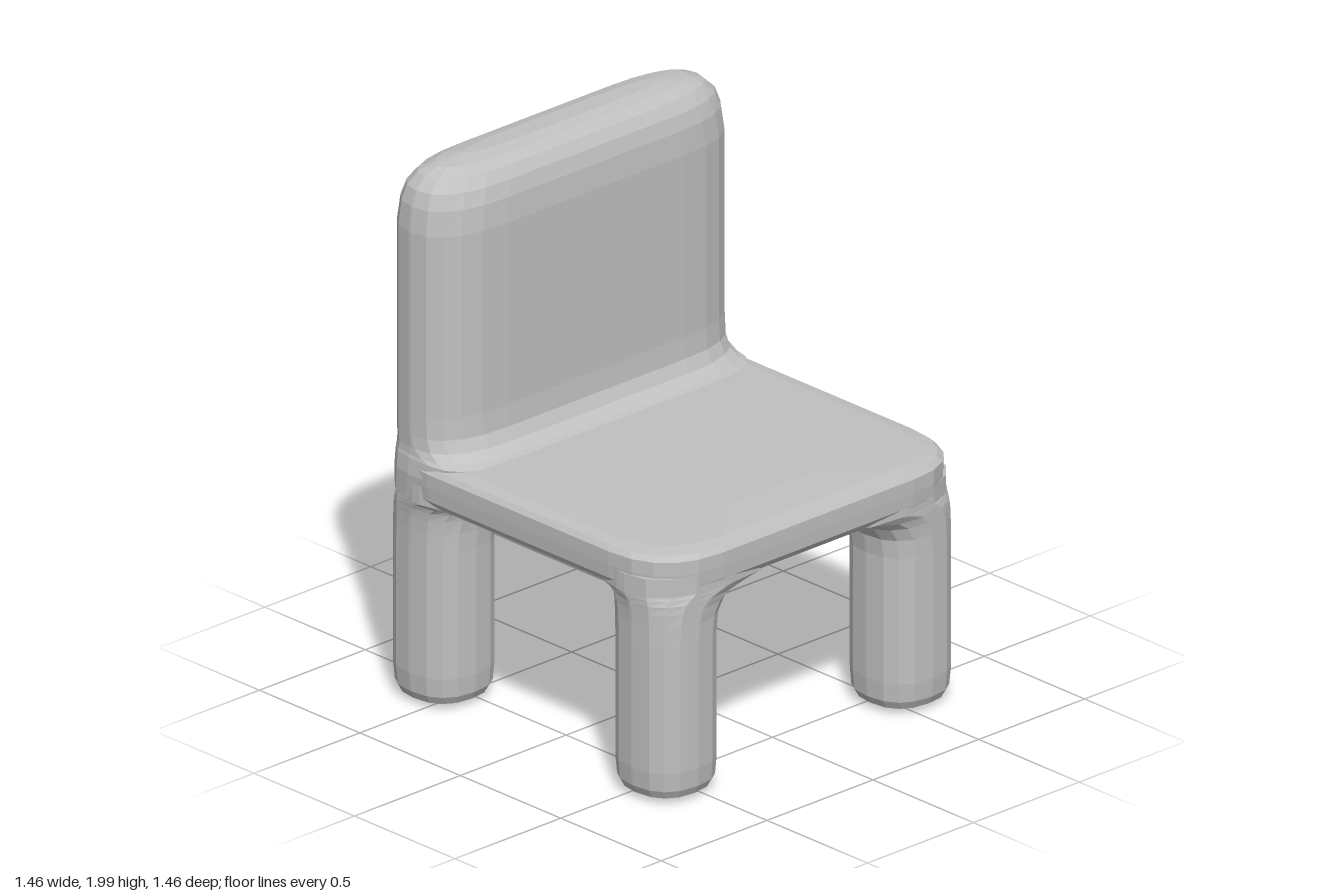
import * as THREE from 'three';

// One rounded-rectangle ring; corners are soft superellipse arcs
function ring({ y, x0, x1, z0, z1, rx, rz }, steps) {
  const hx = (x1 - x0) / 2, hz = (z1 - z0) / 2;
  const cx = (x0 + x1) / 2, cz = (z0 + z1) / 2;
  const ax = Math.min(rx, hx * 0.97), az = Math.min(rz, hz * 0.97);
  const signs = [[1, 1], [-1, 1], [-1, -1], [1, -1]];
  const pts = [];
  signs.forEach(([sx, sz], q) => {
    for (let i = 0; i <= steps; i++) {
      const a = (q + i / steps) * Math.PI / 2;
      const c = Math.pow(Math.abs(Math.cos(a)), 2 / 2.4);
      const s = Math.pow(Math.abs(Math.sin(a)), 2 / 2.4);
      pts.push([cx + sx * (hx - ax + ax * c), y, cz + sz * (hz - az + az * s)]);
    }
  });
  return pts;
}

// Faceted closed skin through rings listed from bottom to top
function loft(sections, steps = 4) {
  const rings = sections.map(s => ring(s, steps));
  const pos = [];
  const tri = (a, b, c) => pos.push(...a, ...b, ...c);
  const n = rings[0].length;
  const centre = s => [(s.x0 + s.x1) / 2, s.y, (s.z0 + s.z1) / 2];
  const low = centre(sections[0]), high = centre(sections[sections.length - 1]);
  for (let j = 0; j < n; j++) {
    const k = (j + 1) % n;
    tri(low, rings[0][j], rings[0][k]);
    for (let i = 0; i < rings.length - 1; i++) {
      const a = rings[i], b = rings[i + 1];
      tri(a[j], b[j], a[k]);
      tri(a[k], b[j], b[k]);
    }
    const t = rings[rings.length - 1];
    tri(high, t[k], t[j]);
  }
  const g = new THREE.BufferGeometry();
  g.setAttribute('position', new THREE.Float32BufferAttribute(pos, 3));
  g.computeVertexNormals();
  return g;
}

export function createModel() {
  const group = new THREE.Group();
  const grey = new THREE.MeshStandardMaterial({ color: 0xc0c0c0 });
  grey.name = 'soft grey';
  const add = (name, geometry) => {
    const mesh = new THREE.Mesh(geometry, grey);
    mesh.name = name;
    group.add(mesh);
  };

  // Seat slab: [height, half size]
  const seat = [[0.776, 0.66], [0.785, 0.71], [0.81, 0.727], [0.86, 0.73], [0.91, 0.73],
    [0.928, 0.715], [0.937, 0.67], [0.943, 0.5]];
  add('seat', loft(seat.map(([y, h]) => (
    { y, x0: -h, x1: h, z0: -h, z1: h, rx: 0.28, rz: 0.28 })), 5));

  // Backrest: [height, half width, rear z, front z], flared where it meets the seat
  const back = [[0.79, 0.722, -0.727, -0.4], [0.88, 0.728, -0.729, -0.3], [0.938, 0.722, -0.729, -0.27],
    [0.95, 0.718, -0.729, -0.31], [0.975, 0.715, -0.729, -0.35], [1.02, 0.714, -0.729, -0.372],
    [1.1, 0.714, -0.729, -0.378], [1.78, 0.714, -0.729, -0.378], [1.87, 0.702, -0.721, -0.386],
    [1.925, 0.682, -0.705, -0.402], [1.965, 0.642, -0.678, -0.429], [1.988, 0.58, -0.64, -0.467],
    [2.0, 0.46, -0.592, -0.515]];
  add('backrest', loft(back.map(([y, w, z0, z1]) => (
    { y, x0: -w, x1: w, z0, z1, rx: 0.3, rz: 0.18 })), 5));

  // Legs: [height, outer edge, inner x edge, inner z edge], blended into the seat
  const leg = [[0.008, 0.61, 0.5, 0.5], [0.014, 0.66, 0.45, 0.45], [0.03, 0.695, 0.412, 0.412],
    [0.06, 0.71, 0.396, 0.396], [0.13, 0.716, 0.391, 0.391], [0.6, 0.716, 0.391, 0.391],
    [0.67, 0.716, 0.382, 0.388], [0.72, 0.718, 0.345, 0.38], [0.75, 0.721, 0.285, 0.365],
    [0.77, 0.725, 0.18, 0.335], [0.782, 0.727, 0.1, 0.29], [0.85, 0.727, 0.1, 0.29]];
  for (const [name, sz] of [['front', 1], ['rear', -1]]) {
    for (const [side, sx] of [['Left', 1], ['Right', -1]]) {
      add(name + side + 'Leg', loft(leg.map(([y, o, ix, iz]) => ({
        y,
        x0: sx > 0 ? ix : -o, x1: sx > 0 ? o : -ix,
        z0: sz > 0 ? iz : -o, z1: sz > 0 ? o : -iz,
        rx: 0.3, rz: 0.2,
      }))));
    }
  }
  return group;
}
